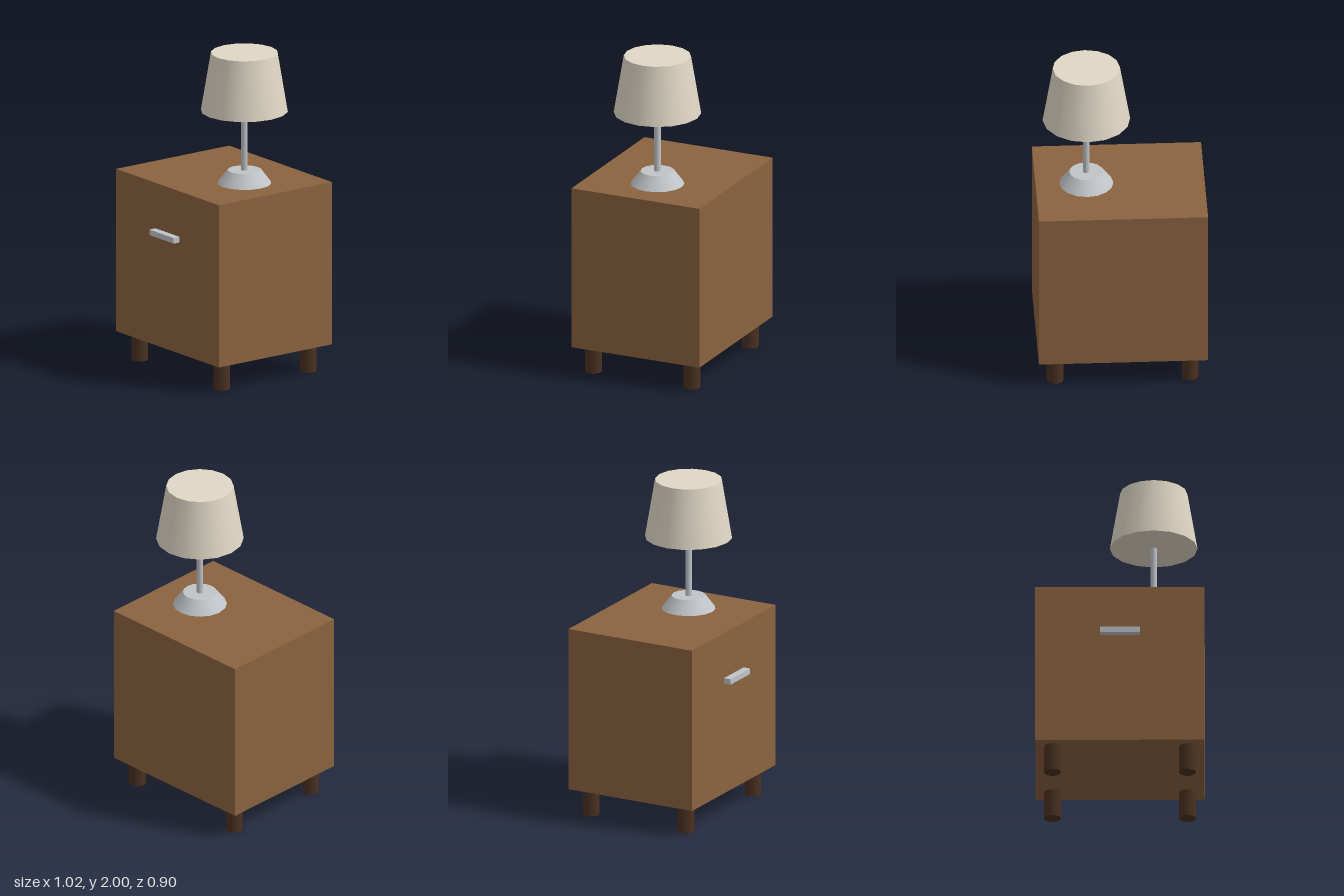
import * as THREE from 'three';

export function createModel() {
  const model = new THREE.Group();
  model.name = 'nightstandWithLamp';

  const material = (name, color) => {
    const m = new THREE.MeshStandardMaterial({ color });
    m.name = name;
    return m;
  };
  const wood = material('brown wood', 0x8b6340);
  const darkWood = material('dark wood', 0x4a3020);
  const metal = material('light metal', 0xc0c4c8);
  const fabric = material('cream fabric', 0xe0d8c6);

  const add = (parent, name, geometry, mat, x, y, z) => {
    const mesh = new THREE.Mesh(geometry, mat);
    mesh.name = name;
    mesh.position.set(x, y, z);
    parent.add(mesh);
    return mesh;
  };
  // Upright round part given by its bottom and top heights
  const round = (parent, name, rTop, rBottom, y0, y1, mat, x = 0, z = 0) =>
    add(parent, name, new THREE.CylinderGeometry(rTop, rBottom, y1 - y0, 16), mat, x, (y0 + y1) / 2, z);

  const midZ = -0.0225; // centre of the cabinet in depth
  const floorY = 0.17, topY = 1.185;

  // Cabinet and drawer handle
  add(model, 'cabinet', new THREE.BoxGeometry(1.02, topY - floorY, 0.855), wood, 0, (floorY + topY) / 2, midZ);
  add(model, 'handle', new THREE.BoxGeometry(0.24, 0.035, 0.045), metal, 0, 0.883, 0.4275);

  // Four legs
  for (const [sideName, sx] of [['Left', 1], ['Right', -1]])
    for (const [endName, sz] of [['front', 1], ['back', -1]])
      round(model, `${endName}${sideName}Leg`, 0.051, 0.051, 0, floorY, darkWood, sx * 0.407, midZ + sz * 0.328);

  // Table lamp
  const lamp = new THREE.Group();
  lamp.name = 'lamp';
  lamp.position.set(0.203, 0, midZ);
  model.add(lamp);
  round(lamp, 'lampBase', 0.102, 0.163, topY, 1.266, metal);
  round(lamp, 'lampPole', 0.02, 0.02, 1.266, 1.64, metal);
  round(lamp, 'lampShade', 0.203, 0.264, 1.637, 2, fabric);

  return model;
}
